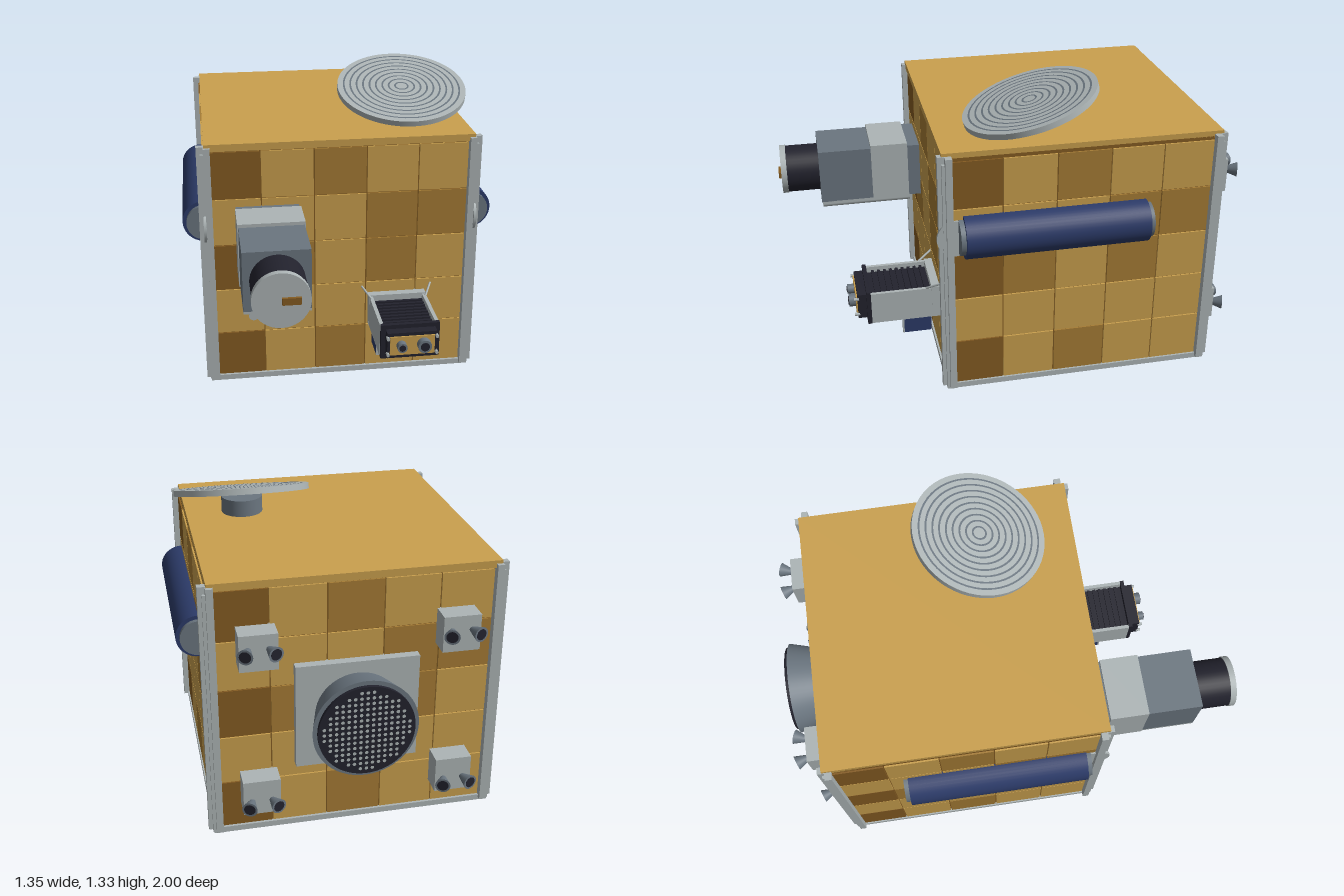
import * as THREE from 'three';
import { mergeGeometries } from 'three/addons/utils/BufferGeometryUtils.js';

const mat = (name, color) => Object.assign(new THREE.MeshStandardMaterial({ color }), { name });
const gold = mat('gold foil', 0xcaa04e), amber = mat('amber foil', 0xa67c35), brown = mat('brown foil', 0x855c22);
const light = mat('light grey', 0xadb5b6), slate = mat('slate grey', 0x6b7680);
const black = mat('black', 0x22222d), blue = mat('navy blue', 0x2c3b69);

const CZ = -0.23; // centre of the cubic body in z

function add(parent, name, geo, material, x = 0, y = 0, z = 0) {
  const m = new THREE.Mesh(geo, material);
  m.name = name;
  m.position.set(x, y, z);
  parent.add(m);
  return m;
}
// Box given by its min and max corners
function box(parent, name, material, x0, x1, y0, y1, z0, z1) {
  return add(parent, name, new THREE.BoxGeometry(x1 - x0, y1 - y0, z1 - z0), material,
    (x0 + x1) / 2, (y0 + y1) / 2, (z0 + z1) / 2);
}
// Cylinder or cone along z from z0 to z1
function rod(parent, name, material, x, y, z0, z1, r0, r1 = r0, seg = 40) {
  const g = new THREE.CylinderGeometry(r1, r0, z1 - z0, seg).rotateX(Math.PI / 2);
  return add(parent, name, g, material, x, y, (z0 + z1) / 2);
}

// One wall of foil tiles, facing +z; rows run from bottom to top
function foilWall() {
  const wall = new THREE.Group();
  wall.name = 'foilWall';
  const rows = ['bgagg', 'ggggg', 'bagag', 'gggaa', 'bgagg'];
  const xs = [-0.55, -0.338, -0.113, 0.112, 0.335, 0.55];
  rows.forEach((row, j) => [...row].forEach((c, i) => {
    const m = { g: gold, a: amber, b: brown }[c];
    box(wall, 'foilTile', m, xs[i], xs[i + 1] - 0.005, 0.06 + j * 0.21, 0.265 + j * 0.21, 0.57, 0.579);
  }));
  return wall;
}

function body(root) {
  box(root, 'bodyCore', brown, -0.572, 0.572, 0.05, 1.12, CZ - 0.572, CZ + 0.572);
  box(root, 'topPanel', gold, -0.572, 0.572, 1.112, 1.143, CZ - 0.587, CZ + 0.587);
  box(root, 'basePlate', light, -0.585, 0.585, 0.033, 0.058, CZ - 0.587, CZ + 0.587);
  for (let k = 0; k < 4; k++) {
    const side = new THREE.Group();
    side.name = 'bodySide';
    side.position.z = CZ;
    side.rotation.y = k * Math.PI / 2;
    side.add(foilWall());
    // L-shaped corner rail
    box(side, 'cornerRail', light, 0.547, 0.575, 0.045, 1.13, 0.57, 0.604);
    box(side, 'cornerRail', light, 0.57, 0.604, 0.045, 1.13, 0.547, 0.575);
    box(side, 'cornerPost', light, 0.57, 0.588, 0.04, 1.1, 0.57, 0.588);
    root.add(side);
  }
  // Docking ring underneath
  const profile = [[0.42, 0.036], [0.425, 0.02], [0.44, 0.008], [0.465, 0], [0.49, 0.003], [0.505, 0.012], [0.51, 0.022], [0.51, 0.036]];
  add(root, 'dockingRing', new THREE.LatheGeometry(profile.map(p => new THREE.Vector2(...p)), 72), light, 0, 0, CZ);
}

function sideRolls(root) {
  for (const s of [-1, 1]) {
    rod(root, 'solarRoll', blue, s * 0.583, 0.775, -0.495, 0.275, 0.092);
    rod(root, 'rollCore', slate, s * 0.583, 0.775, -0.515, 0.295, 0.076);
    const bracket = new THREE.CylinderGeometry(0.08, 0.08, 0.012, 32).rotateZ(Math.PI / 2);
    add(root, 'rollBracket', bracket, light, s * 0.58, 0.77, 0.305);
  }
}

function dishAntenna(root) {
  add(root, 'dishPost', new THREE.CylinderGeometry(0.088, 0.088, 0.075, 40), slate, 0.33, 1.175, -0.055);
  const dish = new THREE.Group();
  dish.name = 'dishAntenna';
  dish.position.set(0.33, 1.238, -0.055);
  dish.rotation.x = 0.29;
  add(dish, 'dishDisc', new THREE.CylinderGeometry(0.29, 0.29, 0.025, 64), light);
  for (let i = 0; i < 9; i++) {
    const r = 0.025 + i * 0.029;
    add(dish, 'dishGroove', new THREE.RingGeometry(r, r + 0.008, 56).rotateX(-Math.PI / 2), slate, 0, 0.0135, 0);
  }
  root.add(dish);
}

function telescope(root) {
  const g = new THREE.Group();
  g.name = 'telescope';
  box(g, 'telescopeHousing', slate, -0.45, -0.182, 0.61, 0.862, 0.34, 0.815);
  box(g, 'housingBand', light, -0.454, -0.178, 0.6, 0.876, 0.405, 0.575);
  box(g, 'housingFloor', light, -0.45, -0.182, 0.598, 0.611, 0.4, 0.812);
  for (const x of [-0.41, -0.222]) rod(g, 'supportRod', light, x, 0.588, 0.4, 0.81, 0.019, 0.019, 20);
  rod(g, 'telescopeBarrel', black, -0.315, 0.738, 0.81, 0.965, 0.109);
  rod(g, 'lensCover', light, -0.315, 0.738, 0.962, 0.988, 0.113);
  box(g, 'coverLatch', brown, -0.313, -0.24, 0.724, 0.752, 0.98, 1.0);
  root.add(g);
}

function spectrometer(root) {
  const g = new THREE.Group();
  g.name = 'spectrometer';
  const cx = 0.247;
  box(g, 'sensorCore', black, 0.14, 0.354, 0.285, 0.395, 0.38, 0.67);
  for (let i = 0; i < 9; i++) box(g, 'coolingRib', black, 0.14, 0.354, 0.39, 0.405, 0.4 + i * 0.027, 0.413 + i * 0.027);
  box(g, 'backFrame', light, 0.12, 0.374, 0.275, 0.425, 0.34, 0.385);
  box(g, 'frontFrame', black, 0.122, 0.372, 0.272, 0.428, 0.65, 0.668);
  box(g, 'frontBlock', black, 0.142, 0.352, 0.295, 0.41, 0.665, 0.707);
  box(g, 'frontPlate', gold, 0.153, 0.342, 0.31, 0.395, 0.705, 0.713);
  for (const [x, r] of [[0.2, 0.021], [0.295, 0.029]]) {
    rod(g, 'eyepiece', slate, x, 0.357, 0.71, 0.742, r, r, 28);
    rod(g, 'eyepieceGlass', black, x, 0.357, 0.74, 0.745, r * 0.65, r * 0.65, 28);
  }
  for (const s of [-1, 1]) {
    const x = cx + s * 0.118;
    box(g, 'sideWall', light, x - 0.008, x + 0.008, 0.275, 0.42, 0.36, 0.65);
    const leg = cx + s * 0.107;
    box(g, 'legFin', blue, leg - 0.008, leg + 0.008, 0.2, 0.28, 0.39, 0.512);
    box(g, 'legFinEdge', light, leg - 0.009, leg + 0.009, 0.2, 0.28, 0.51, 0.517);
    for (const y of [0.315, 0.39]) rod(g, 'cornerBolt', light, cx + s * 0.103, y, 0.7, 0.722, 0.007, 0.007, 12);
    // Slanted brace between wall and side plate
    const path = new THREE.LineCurve3(new THREE.Vector3(cx + s * 0.12, 0.42, 0.41), new THREE.Vector3(cx + s * 0.155, 0.455, 0.345));
    add(g, 'brace', new THREE.TubeGeometry(path, 1, 0.005, 8), light);
  }
  root.add(g);
}

function engine(root) {
  const g = new THREE.Group();
  g.name = 'mainEngine';
  const y = 0.56;
  box(g, 'enginePlate', light, -0.248, 0.248, 0.33, 0.78, -0.845, -0.8);
  rod(g, 'engineCone', slate, 0, y, -0.982, -0.84, 0.21, 0.17, 56);
  rod(g, 'engineGrille', black, 0, y, -0.997, -0.978, 0.192, 0.192, 56);
  // Grid of small dots on the grille
  const dots = [];
  for (let i = -7; i <= 7; i++) for (let j = -7; j <= 7; j++) {
    if (Math.hypot(i, j) > 7.2) continue;
    dots.push(new THREE.CircleGeometry(0.0075, 8).rotateY(Math.PI).translate(i * 0.024, j * 0.024, 0));
  }
  add(g, 'grilleDots', mergeGeometries(dots), light, 0, y, -0.9985);
  root.add(g);
}

function thrusters(root) {
  for (const s of [-1, 1]) for (const [y, ny] of [[0.885, 0.9], [0.24, 0.225]]) {
    const x = s * 0.395;
    box(root, 'thrusterBlock', light, x - 0.075, x + 0.075, y - 0.075, y + 0.075, -0.897, -0.79);
    for (const t of [-1, 1]) {
      const n = rod(root, 'thrusterNozzle', slate, x + t * 0.048, ny, -0.03, 0.03, 0.031, 0.01, 24);
      n.position.z = -0.92;
      n.rotation.y = -t * 0.35;
      rod(n, 'nozzleThroat', black, 0, 0, -0.0305, -0.029, 0.023, 0.023, 20);
    }
  }
}

export function createModel() {
  const root = new THREE.Group();
  root.name = 'satellite';
  for (const build of [body, sideRolls, dishAntenna, telescope, spectrometer, engine, thrusters]) build(root);
  return root;
}
